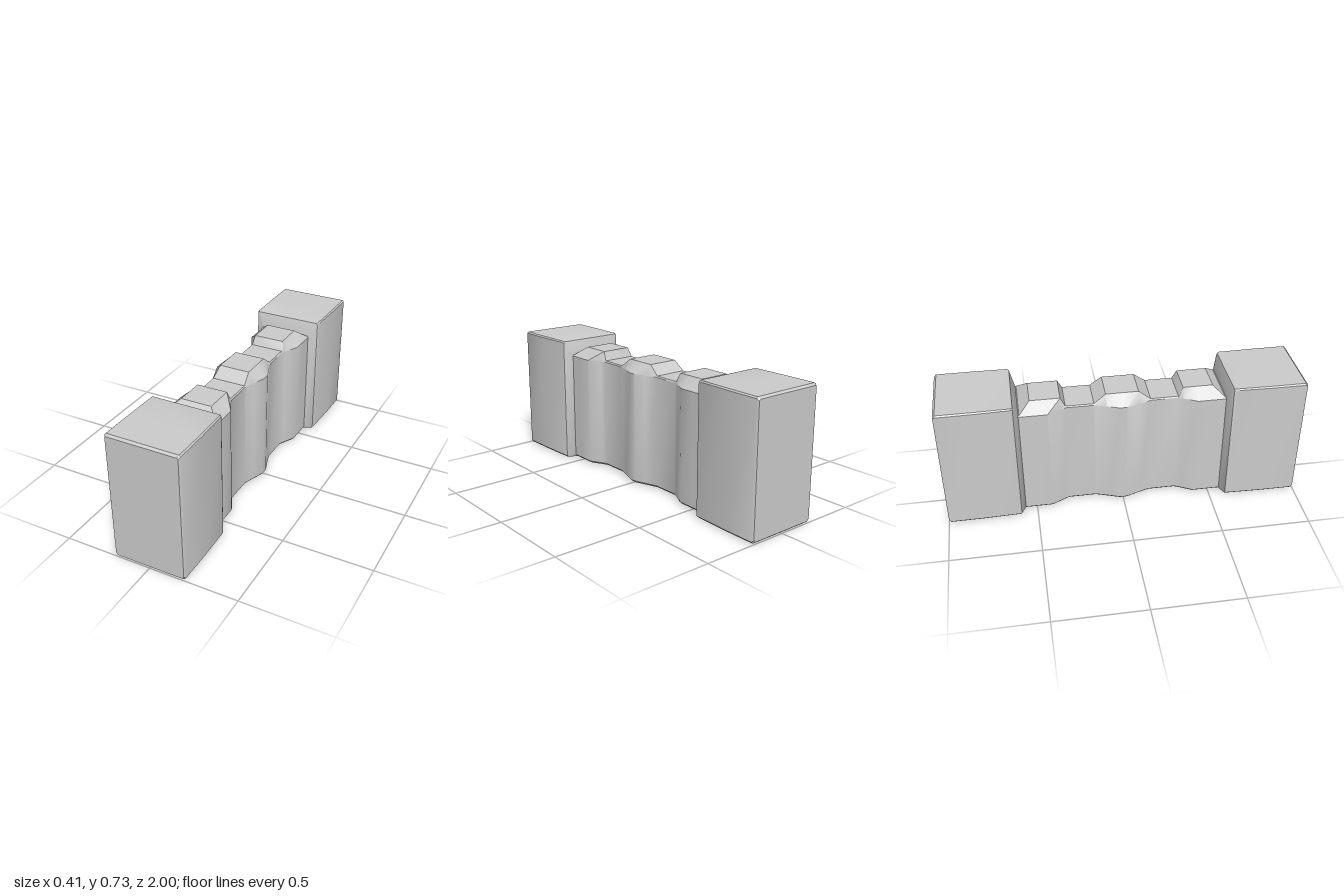
import * as THREE from 'three';
import { toCreasedNormals } from 'three/addons/utils/BufferGeometryUtils.js';

const material = new THREE.MeshStandardMaterial({ color: 0xcccccc });

// Mirrored ring of corners: chamfered foot, upright side, sloped shoulder, flat top.
function ring({ z, w, side, inner, top, foot = 0 }) {
  const half = [[w - 0.012, foot], [w, foot + 0.012], [w, side], [inner, top]];
  const other = half.map(([x, y]) => [-x, y]).reverse();
  return [...half, ...other].map(([x, y]) => [x, y, z]);
}

// Skins the sections, listed from back to front, and caps both ends.
function loft(sections, name) {
  const rings = sections.map(ring);
  const n = rings[0].length;
  const index = [];
  for (let i = 0; i < rings.length - 1; i++) {
    for (let j = 0; j < n; j++) {
      const a = i * n + j, b = i * n + (j + 1) % n;
      index.push(a, b, a + n, b, b + n, a + n);
    }
  }
  const last = (rings.length - 1) * n;
  for (let j = 1; j < n - 1; j++) {
    index.push(0, j + 1, j, last, last + j, last + j + 1);
  }
  const geometry = new THREE.BufferGeometry();
  geometry.setAttribute('position', new THREE.Float32BufferAttribute(rings.flat(2), 3));
  geometry.setIndex(index);
  const mesh = new THREE.Mesh(toCreasedNormals(geometry, 0.55), material);
  mesh.name = name;
  return mesh;
}

const mirrorZ = (sections) => sections.map((s) => ({ ...s, z: -s.z })).reverse();

export function createModel() {
  const group = new THREE.Group();
  group.name = 'wall';

  // End pillars, tapering slightly inward and chamfered towards the wall
  const pillar = [
    { z: 0.565, w: 0.15, side: 0.645, inner: 0.14, top: 0.65, foot: 0.004 },
    { z: 0.592, w: 0.196, side: 0.722, inner: 0.188, top: 0.73 },
    { z: 0.602, w: 0.2, side: 0.725, inner: 0.195, top: 0.733 },
    { z: 0.8, w: 0.206, side: 0.725, inner: 0.199, top: 0.733 },
    { z: 0.988, w: 0.207, side: 0.725, inner: 0.199, top: 0.733 },
    { z: 1, w: 0.2, side: 0.715, inner: 0.194, top: 0.722, foot: 0.01 },
  ];
  group.add(loft(pillar, 'frontPillar'), loft(mirrorZ(pillar), 'backPillar'));

  // Wavy wall with three raised blocks along the top: [z, half width, inner half width, top]
  const half = [
    [0.02, 0.147, 0.087, 0.7],
    [0.09, 0.122, 0.087, 0.7],
    [0.155, 0.1, 0.094, 0.65],
    [0.31, 0.1, 0.094, 0.65],
    [0.335, 0.111, 0.087, 0.7],
    [0.41, 0.15, 0.087, 0.7],
    [0.5, 0.15, 0.087, 0.7],
    [0.56, 0.15, 0.145, 0.65],
    [0.59, 0.15, 0.145, 0.65],
  ].map(([z, w, inner, top]) => ({ z, w, side: 0.643, inner, top, foot: 0.004 }));
  group.add(loft([...mirrorZ(half), ...half], 'wavyWall'));

  return group;
}
